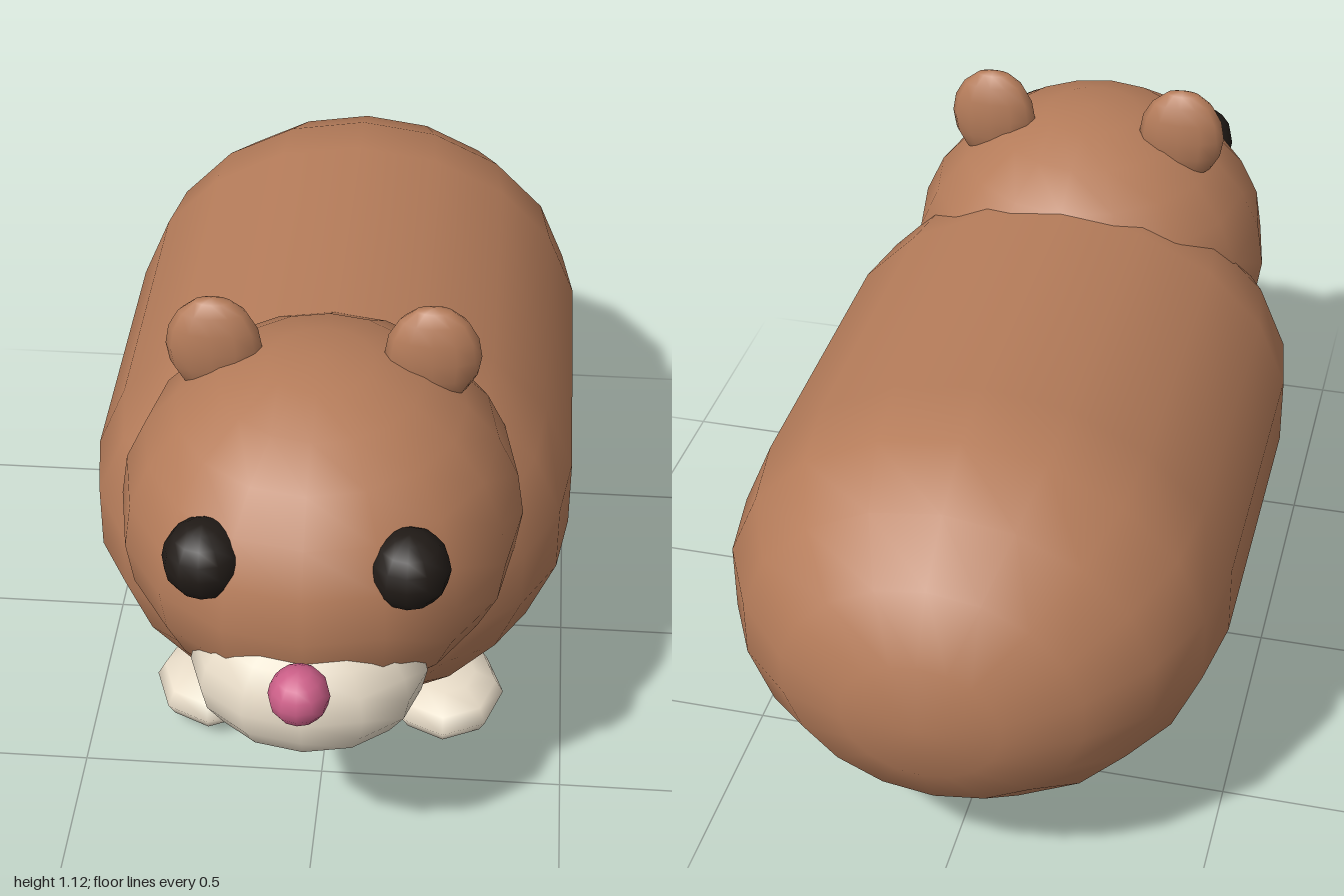
import * as THREE from 'three';

const material = (color) => new THREE.MeshStandardMaterial({ color, roughness: 0.8 });

export function createModel() {
  const model = new THREE.Group();
  const fur = material(0xb57c5a);
  const cream = material(0xe8dcc8);
  const dark = material(0x211b17);
  const pink = material(0xcc5f88);

  // Ellipsoid with centre, radii and a low segment count
  function blob(name, mat, centre, radii, across = 12, down = 8) {
    const geometry = new THREE.SphereGeometry(1, across, down);
    geometry.scale(...radii);
    const mesh = new THREE.Mesh(geometry, mat);
    mesh.name = name;
    mesh.position.set(...centre);
    model.add(mesh);
    return mesh;
  }

  // Long capsule body lying along z, slightly flattened in height
  const bodyGeometry = new THREE.CapsuleGeometry(0.5, 0.66, 5, 18);
  bodyGeometry.rotateY(Math.PI / 2).rotateX(Math.PI / 2).scale(1, 0.85, 1);
  const body = new THREE.Mesh(bodyGeometry, fur);
  body.name = 'body';
  body.position.set(0, 0.51, -0.17);
  model.add(body);

  // Head and face
  blob('head', fur, [0, 0.69, 0.46], [0.392, 0.347, 0.425], 16, 12);
  blob('muzzle', cream, [0, 0.53, 0.752], [0.225, 0.16, 0.175], 12, 10);
  blob('nose', pink, [0, 0.627, 0.943], [0.057, 0.057, 0.057]);

  // Mirrored ears, eyes and front feet
  for (const side of [1, -1]) {
    const prefix = side > 0 ? 'left' : 'right';
    blob(prefix + 'Ear', fur, [side * 0.208, 1.017, 0.41], [0.092, 0.106, 0.044]);
    blob(prefix + 'Eye', dark, [side * 0.187, 0.805, 0.785], [0.077, 0.077, 0.077]);
    blob(prefix + 'Foot', cream, [side * 0.25, 0.062, 0.29], [0.124, 0.062, 0.146], 8, 6);
  }

  // Pale patch just breaking the surface under the rump
  blob('rumpPatch', cream, [0, 0.303, -0.662], [0.2, 0.2, 0.2], 14, 10);

  return model;
}
